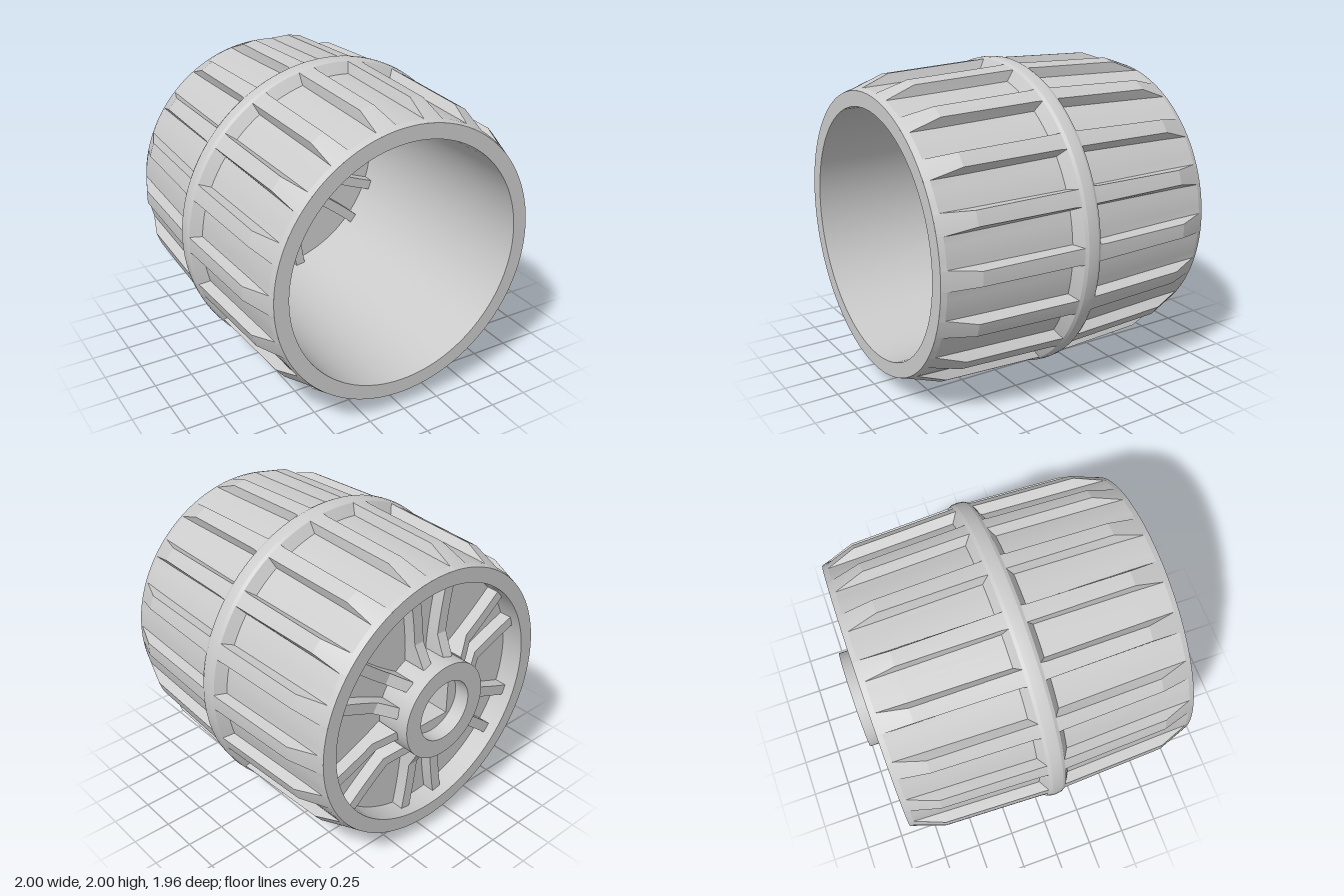
import * as THREE from 'three';
import { toCreasedNormals } from 'three/addons/utils/BufferGeometryUtils.js';

const GROOVES = 18, BODY_Z = 0.04, HALF = 0.94;
const BORE = 0.785, DISC_Z = -0.7;

// Half of the tread: distance from middle, land radius, groove floor radius,
// half width of groove floor, half width of groove mouth
const HALF_STATIONS = [
  [0.94, 0.88, 0.88, 0.09, 0.094],
  [0.905, 0.893, 0.892, 0.09, 0.094],
  [0.72, 0.96, 0.898, 0.094, 0.122],
  [0.095, 0.984, 0.92, 0.1, 0.122],
  [0.055, 0.987, 0.987, 0.118, 0.122],
  [0.035, 0.997, 0.997, 0.118, 0.122],
];

// Grooved outer surface, built as rings along the axle
function treadGeometry() {
  const stations = [
    ...HALF_STATIONS.map(([d, ...rest]) => [-d, ...rest]),
    [0, 1, 1, 0.118, 0.122],
    ...HALF_STATIONS.slice().reverse(),
  ];
  const pitch = (Math.PI * 2) / GROOVES, N = 4;
  const positions = [], index = [];
  const columns = GROOVES * (N + 1) * 2;
  for (const [d, land, floor, wf, wt] of stations) {
    const point = (angle, r) =>
      positions.push(r * Math.cos(angle), r * Math.sin(angle), BODY_Z + d);
    for (let g = 0; g < GROOVES; g++) {
      const a = Math.PI / 2 + g * pitch;
      const f = wf / floor, t = wt / land;
      for (let k = 0; k <= N; k++) point(a - f + (2 * f * k) / N, floor);
      for (let k = 0; k <= N; k++) point(a + t + ((pitch - 2 * t) * k) / N, land);
    }
  }
  for (let i = 0; i < stations.length - 1; i++) {
    for (let j = 0; j < columns; j++) {
      const k = (j + 1) % columns;
      const a = i * columns + j, b = i * columns + k;
      index.push(a, b, b + columns, a, b + columns, a + columns);
    }
  }
  const geo = new THREE.BufferGeometry();
  geo.setAttribute('position', new THREE.Float32BufferAttribute(positions, 3));
  geo.setIndex(index);
  return toCreasedNormals(geo, 0.25);
}

// Flat end rims and the smooth bore
function boreGeometry() {
  const profile = [[0.88, HALF], [BORE, HALF], [BORE, -HALF], [0.88, -HALF]]
    .map(([r, y]) => new THREE.Vector2(r, y));
  const geo = new THREE.LatheGeometry(profile, 144);
  geo.rotateX(Math.PI / 2).translate(0, 0, BODY_Z);
  return toCreasedNormals(geo, 0.5);
}

function circle(r) {
  return new THREE.Shape().absarc(0, 0, r, 0, Math.PI * 2, false);
}

function square(h) {
  return new THREE.Path([[-h, -h], [-h, h], [h, h], [h, -h]]
    .map(([x, y]) => new THREE.Vector2(x, y)));
}

// Round plate centred on the disc plane, with one hole
function plate(radius, hole, depth) {
  const shape = circle(radius);
  shape.holes.push(hole);
  const geo = new THREE.ExtrudeGeometry(shape, { depth, bevelEnabled: false, curveSegments: 48 });
  geo.translate(0, 0, DISC_Z - depth / 2);
  return toCreasedNormals(geo, 0.5);
}

// Curved spoke that thickens in a ramp towards the hub
function spokeGeometry(side) {
  const geo = new THREE.BoxGeometry(0.07, 0.49, 2, 1, 7, 1);
  const p = geo.attributes.position;
  for (let i = 0; i < p.count; i++) {
    const t = THREE.MathUtils.clamp(p.getY(i) / 0.49 + 0.5, 0, 1);
    const r = 0.3 + 0.49 * t;
    const ramp = Math.max(0, (0.44 - r) / 0.14);
    p.setXYZ(i,
      p.getX(i) + side * (0.085 + 0.06 * Math.pow(t, 1.6)),
      r,
      DISC_Z + p.getZ(i) * (0.13 + 0.07 * ramp));
  }
  return toCreasedNormals(geo, 0.25);
}

export function createModel() {
  const model = new THREE.Group();
  model.name = 'wheel';
  const material = new THREE.MeshStandardMaterial({ color: 0xcccccc });
  const add = (name, geo) => {
    const mesh = new THREE.Mesh(geo, material);
    mesh.name = name;
    mesh.position.y = 1;
    model.add(mesh);
    return mesh;
  };

  add('tread', treadGeometry());
  add('rimAndBore', boreGeometry());
  add('disc', plate(BORE + 0.005, circle(0.3), 0.1));

  // Hub sleeve with a recessed core around the square axle hole
  add('hubSleeve', plate(0.317, circle(0.2), 0.56));
  add('hubCore', plate(0.205, square(0.125), 0.36));

  // Six pairs of spokes
  for (const side of [-1, 1]) {
    const geo = spokeGeometry(side);
    for (let i = 0; i < 6; i++) add('spoke', geo).rotation.z = (i * Math.PI) / 3;
  }
  return model;
}
